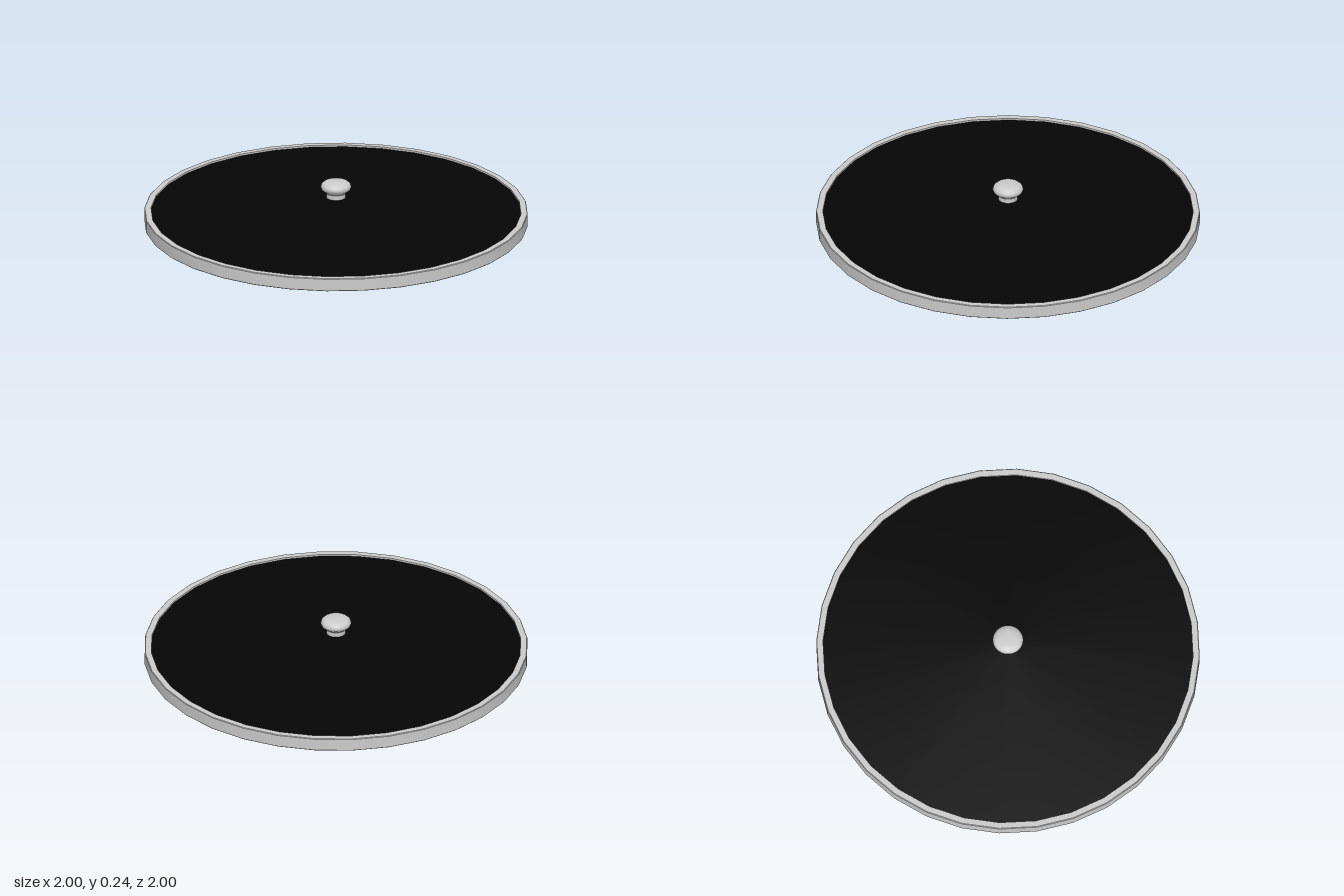
import * as THREE from 'three';
import { toCreasedNormals } from 'three/addons/utils/BufferGeometryUtils.js';

const grey = new THREE.MeshStandardMaterial({ color: 0xcccccc });
const darkGlass = new THREE.MeshStandardMaterial({ color: 0x050505 });

// Turned part from [radius, height] pairs, ordered bottom, outside, top
function turned(name, profile, material, crease = 0.6) {
  const points = profile.map(([r, y]) => new THREE.Vector2(r, y));
  const geometry = toCreasedNormals(new THREE.LatheGeometry(points, 32), crease);
  const mesh = new THREE.Mesh(geometry, material);
  mesh.name = name;
  return mesh;
}

export function createModel() {
  const lid = new THREE.Group();
  lid.name = 'panLid';

  // Flat band around the edge
  lid.add(turned('rim', [
    [0.965, 0], [0.997, 0], [1, 0.003], [1, 0.067], [0.997, 0.07], [0.965, 0.07], [0.965, 0],
  ], grey));

  // Shallow conical pane, hollow underneath
  lid.add(turned('glassPane', [
    [0, 0.119], [0.05, 0.117], [0.97, 0.035], [0.97, 0.06], [0.05, 0.146], [0, 0.146],
  ], darkGlass));

  // Bolt passing through the pane, up into the knob
  lid.add(turned('knobStem', [
    [0, 0.092], [0.05, 0.092], [0.05, 0.18], [0, 0.18],
  ], grey));

  // Rounded grip
  lid.add(turned('knob', [
    [0, 0.17], [0.05, 0.171], [0.06, 0.18], [0.075, 0.192], [0.08, 0.205],
    [0.076, 0.218], [0.062, 0.23], [0.04, 0.234], [0, 0.236],
  ], grey, 1.0));

  return lid;
}
